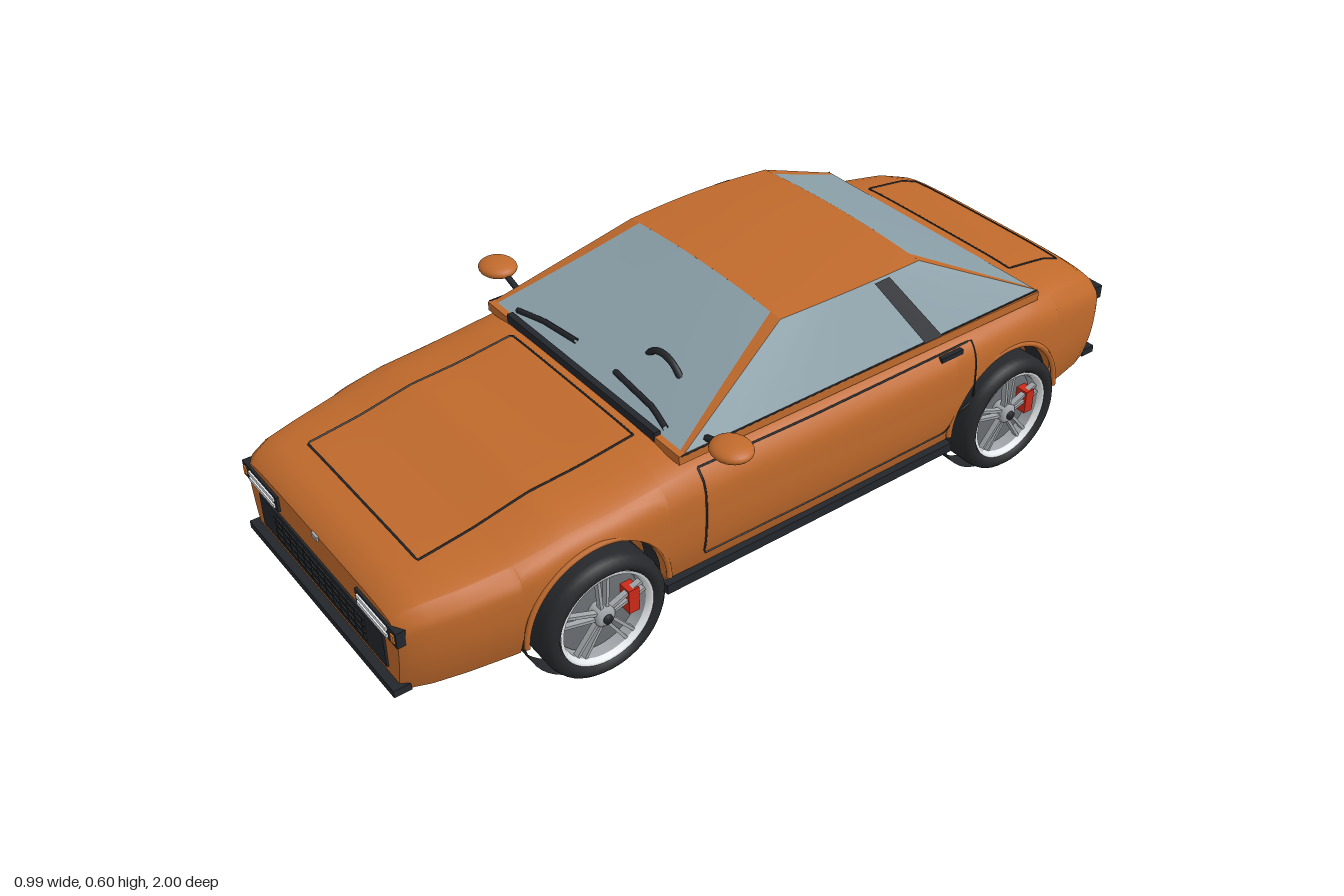
import * as THREE from 'three';

const mat = (color) => new THREE.MeshStandardMaterial({ color, side: THREE.DoubleSide });
const paint = mat(0xc06a2c), dark = mat(0x23262b), glass = mat(0x8a9fa8), silver = mat(0xa4a8ac), bright = mat(0xe4e8ea);
const steel = mat(0x6c7074), red = mat(0xcc2a18), amber = mat(0xe08030), tail = mat(0x7a1a1a), rubber = mat(0x26282b);
const { lerp } = THREE.MathUtils;

// Linear lookup in a list of [key, value] pairs with falling keys
function table(list, k) {
  for (let i = 1; i < list.length; i++) {
    const [a, va] = list[i - 1], [b, vb] = list[i];
    if (k >= b) return lerp(va, vb, Math.min(1, Math.max(0, (a - k) / (a - b))));
  }
  return list[list.length - 1][1];
}

// Body rules: deck height, half width and rounded section
const R = 0.172, AXLE_Y = 0.168, AXLES = [0.565, -0.59], MID = 0.27, N = 5;
const TOP = [[0.98, 0.315], [0.96, 0.335], [0.92, 0.352], [0.85, 0.36], [0.75, 0.374], [0.62, 0.402], [0.5, 0.41],
  [0.33, 0.432], [0, 0.44], [-0.4, 0.445], [-0.68, 0.447], [-0.85, 0.425], [-0.92, 0.4], [-0.96, 0.37], [-0.98, 0.33]];
const WIDTH = [[0.98, 0.33], [0.95, 0.352], [0.9, 0.367], [0.8, 0.388], [0.7, 0.4], [0.5, 0.408], [0, 0.412]];
const topY = (z) => table(TOP, z);
const halfW = (z) => table(WIDTH, Math.abs(z));
const baseY = (z) => (Math.abs(z) > 0.7 ? 0.13 : 0.152);
const sideX = (y, z) => {
  if (y < MID) return halfW(z) * (1 - 0.06 * ((MID - y) / 0.13) ** 2);
  return halfW(z) * (1 - Math.min(1, (y - MID) / (topY(z) - MID)) ** N) ** (1 / N);
};
const deckY = (x, z) => MID + (topY(z) - MID) * (1 - Math.min(1, Math.abs(x) / halfW(z)) ** N) ** (1 / N);

// Surface through rows of equally many points
function grid(rows) {
  const n = rows[0].length, index = [];
  for (let i = 0; i + 1 < rows.length; i++)
    for (let j = 0; j + 1 < n; j++) {
      const a = i * n + j, b = a + n;
      index.push(a, b, a + 1, b, b + 1, a + 1);
    }
  const g = new THREE.BufferGeometry();
  g.setAttribute('position', new THREE.Float32BufferAttribute(rows.flat(2), 3));
  g.setIndex(index);
  g.computeVertexNormals();
  return g;
}

export function createModel() {
  const car = new THREE.Group();
  const add = (name, geo, m, x = 0, y = 0, z = 0, parent = car) => {
    const mesh = new THREE.Mesh(geo, m);
    mesh.name = name;
    mesh.position.set(x, y, z);
    parent.add(mesh);
    return mesh;
  };
  const box = (name, m, w, h, d, x, y, z, parent) => add(name, new THREE.BoxGeometry(w, h, d), m, x, y, z, parent);
  const line = (name, pts, r = 0.0024, m = dark) => {
    const path = new THREE.CurvePath();
    for (let i = 1; i < pts.length; i++)
      path.add(new THREE.LineCurve3(new THREE.Vector3(...pts[i - 1]), new THREE.Vector3(...pts[i])));
    return add(name, new THREE.TubeGeometry(path, pts.length * 3, r, 5), m);
  };

  // Body stations: [z, bottom height], with wheel arches cut across the width
  const stations = TOP.map(([z]) => [z, baseY(z)]).filter(([z]) => AXLES.every((c) => Math.abs(z - c) > R));
  for (const c of AXLES) {
    for (const z of [c + R + 1e-4, c - R - 1e-4]) stations.push([z, baseY(z)]);
    for (let i = 0; i <= 20; i++) {
      const a = Math.PI * i / 20;
      stations.push([c + R * Math.cos(a), AXLE_Y + R * Math.sin(a)]);
    }
  }
  stations.sort((a, b) => b[0] - a[0]);
  const rings = stations.map(([z, yb]) => {
    const half = [], ys = MID + 0.8 * (topY(z) - MID), xs = sideX(ys, z);
    for (let i = 0; i < 10; i++) {
      const y = lerp(yb, ys, i / 10);
      half.push([sideX(y, z), y, z]);
    }
    for (let i = 0; i <= 10; i++) {
      const x = xs * Math.cos(Math.PI / 2 * i / 10);
      half.push([x, deckY(x, z), z]);
    }
    return [...half, ...half.slice(0, -1).reverse().map(([x, y]) => [-x, y, z])];
  });
  add('bodyShell', grid(rings), paint);
  add('floorPan', grid(rings.map((r) => [r[0], r[r.length - 1]])), paint);
  for (const [name, r] of [['nose', rings[0]], ['tailPanel', rings[rings.length - 1]]])
    add(name, grid(r.slice(0, 21).map((p) => [p, [-p[0], p[1], p[2]]])), paint);

  // Beltline plinth under the cabin
  box('beltline', paint, 0.74, 0.022, 1.045, 0, 0.429, -0.1825);

  // Windscreens with their pillars, each a ruled pane from base to roof
  const roofW = (t) => 0.272 + 0.008 * Math.sin(Math.PI * t);
  const pane = (name, m, zb, yb, wb, zt, edge) => {
    const rows = [];
    for (let i = 0; i <= 4; i++) {
      const s = i / 4, w = lerp(wb, 0.272, s), [f0, f1] = edge(lerp(0.965, 0.88, s));
      rows.push(Array.from({ length: 9 }, (_, j) => {
        const f = lerp(f0, f1, j / 8);
        return [f * w, lerp(yb, 0.588, s) + 0.012 * s * (1 - f * f), lerp(zb, zt, s)];
      }));
    }
    add(name, grid(rows), m);
  };
  for (const [name, ...p] of [['front', 0.335, 0.435, 0.37, 0], ['rear', -0.7, 0.445, 0.365, -0.4]]) {
    pane(name + 'Windscreen', glass, ...p, (e) => [-e, e]);
    pane(name + 'PillarLeft', paint, ...p, (e) => [e, 1]);
    pane(name + 'PillarRight', paint, ...p, (e) => [-1, -e]);
  }
  const roof = [];
  for (let i = 0; i <= 10; i++) {
    const t = i / 10, w = roofW(t);
    roof.push(Array.from({ length: 13 }, (_, j) => {
      const f = j / 6 - 1;
      return [f * w, 0.588 + 0.012 * (1 - f * f) + 0.004 * Math.sin(Math.PI * t), -0.4 * t];
    }));
  }
  add('roof', grid(roof), paint);

  for (const s of [1, -1]) {
    // Side windows and centre post
    const rows = [[], []];
    for (let i = 0; i <= 10; i++) {
      const t = i / 10;
      rows[0].push([s * lerp(0.37, 0.365, t), lerp(0.435, 0.445, t), lerp(0.335, -0.7, t)]);
      rows[1].push([s * roofW(t), 0.588 + 0.004 * Math.sin(Math.PI * t), -0.4 * t]);
    }
    add('sideWindow', grid(rows), glass);
    add('centrePost', grid([[[s * 0.372, 0.443, -0.34], [s * 0.372, 0.443, -0.392]],
      [[s * 0.286, 0.588, -0.255], [s * 0.284, 0.588, -0.3]]]), dark);
    line('windowTrim', [[s * 0.371, 0.44, 0.335], [s * 0.368, 0.445, -0.7]], 0.002);

    // Door seam and handle
    const seam = [];
    for (let i = 0; i <= 10; i++) seam.push([0.3, lerp(0.4, 0.185, i / 10)]);
    for (let i = 1; i <= 10; i++) seam.push([lerp(0.3, -0.4, i / 10), 0.185]);
    seam.push([-0.44, 0.235]);
    for (let i = 0; i <= 10; i++) seam.push([-0.475, lerp(0.25, 0.405, i / 10)]);
    for (let i = 1; i <= 10; i++) seam.push([lerp(-0.475, 0.3, i / 10), lerp(0.405, 0.4, i / 10)]);
    line('doorSeam', seam.map(([z, y]) => [s * sideX(y, z), y, z]));
    box('doorHandle', dark, 0.012, 0.012, 0.065, s * sideX(0.395, -0.4), 0.395, -0.405);

    // Sill, mirror, lamps and wiper
    box('sill', dark, 0.03, 0.024, 0.82, s * 0.392, 0.14, -0.01);
    add('mirror', new THREE.SphereGeometry(1, 24, 16), paint, s * 0.445, 0.472, 0.265).scale.set(0.05, 0.019, 0.045);
    line('mirrorArm', [[s * 0.362, 0.45, 0.265], [s * 0.41, 0.466, 0.265]], 0.008);
    box('headlampHousing', dark, 0.166, 0.038, 0.04, s * 0.257, 0.281, 0.966);
    for (const y of [0.272, 0.289]) box('headlampBar', bright, 0.12, 0.009, 0.01, s * 0.245, y, 0.985);
    box('indicator', amber, 0.012, 0.02, 0.01, s * 0.327, 0.281, 0.984);
    box('tailLampHousing', dark, 0.15, 0.034, 0.04, s * 0.255, 0.315, -0.97);
    box('tailLamp', tail, 0.13, 0.02, 0.01, s * 0.255, 0.315, -0.988);
    const x0 = s > 0 ? 0.07 : -0.08, x1 = s > 0 ? 0.22 : -0.2;
    line('wiper', [[x0, 0.464, 0.288], [x1, 0.46, 0.298], [s * 0.285, 0.45, 0.312]], 0.007);

    // Wheels
    for (const z of AXLES) {
      const wheel = new THREE.Group();
      wheel.name = (z > 0 ? 'front' : 'rear') + 'Wheel' + (s > 0 ? 'Left' : 'Right');
      wheel.position.set(s * 0.375, AXLE_Y, z);
      wheel.rotation.y = s > 0 ? 0 : Math.PI;
      car.add(wheel);
      const spin = (name, m, pts) => add(name, new THREE.LatheGeometry(pts.map((p) => new THREE.Vector2(...p)), 48)
        .rotateZ(-Math.PI / 2), m, 0, 0, 0, wheel);
      spin('tyre', rubber, [[0.112, -0.055], [0.138, -0.055], [0.148, -0.04], [0.149, 0.035], [0.145, 0.05], [0.134, 0.06], [0.12, 0.06], [0.112, 0.048]]);
      spin('archLiner', rubber, [[0.168, -0.055], [0.168, 0.003]]);
      spin('rimBarrel', silver, [[0.108, -0.055], [0.102, 0], [0.102, 0.042]]);
      spin('rimEdge', bright, [[0.102, 0.042], [0.107, 0.053], [0.114, 0.053]]);
      spin('brakeDisc', steel, [[0, 0.005], [0.1, 0.005], [0.1, 0.015], [0, 0.015]]);
      spin('hub', silver, [[0.024, 0.01], [0.024, 0.045], [0.017, 0.052], [0, 0.052]]);
      spin('hubCap', dark, [[0.011, 0.05], [0.011, 0.057], [0, 0.057]]);
      for (let i = 0; i < 5; i++) {
        const arm = new THREE.Group();
        arm.name = 'spoke';
        arm.rotation.x = i * Math.PI * 0.4;
        wheel.add(arm);
        for (const k of [-1, 1]) box('spokeBlade', silver, 0.014, 0.086, 0.007, 0.036, 0.061, k * 0.009, arm).rotation.x = k * 0.06;
      }
      box('brakeCaliper', red, 0.032, 0.06, 0.026, 0.031, 0.007, -0.07 * s, wheel);
      add('archLip', new THREE.TorusGeometry(R + 0.003, 0.007, 6, 32, Math.PI).rotateY(Math.PI / 2), paint, s * 0.4, AXLE_Y, z);
    }
  }

  // Bonnet and boot lid seams, following the crown of the deck
  const lid = (name, w, z0, z1) => {
    const pts = [];
    for (let i = 0; i <= 16; i++) pts.push([w, lerp(z0, z1, i / 16)]);
    for (let i = 1; i < 16; i++) pts.push([lerp(w, -w, i / 16), z1]);
    for (let i = 16; i >= 0; i--) pts.push([-w, lerp(z0, z1, i / 16)]);
    for (let i = 1; i <= 16; i++) pts.push([lerp(-w, w, i / 16), z0]);
    line(name, pts.map(([x, z]) => [x, deckY(x, z) + 0.0005, z]));
  };
  lid('bonnetSeam', 0.237, 0.36, 0.875);
  lid('bootSeam', 0.25, -0.73, -0.9);
  box('cowl', dark, 0.57, 0.022, 0.016, 0, 0.439, 0.333);

  // Grilles, lower lips and blank nose badge
  for (const s of [1, -1]) {
    box(s > 0 ? 'frontGrille' : 'rearGrille', dark, 0.55, 0.085, 0.02, 0, 0.207, s * 0.975);
    for (let i = 0; i < 4; i++) box('grilleSlat', rubber, 0.4, 0.004, 0.005, 0, 0.182 + i * 0.018, s * 0.986);
    for (let i = 0; i < 13; i++) box('grilleBar', rubber, 0.004, 0.06, 0.005, (i - 6) * 0.032, 0.209, s * 0.986);
    box(s > 0 ? 'frontLip' : 'rearLip', dark, 0.65, 0.018, 0.04, 0, 0.138, s * 0.98);
  }
  box('noseBadge', silver, 0.024, 0.011, 0.012, 0, 0.311, 0.978);

  // Rear axle housing and steering wheel
  box('rearAxleHousing', dark, 0.6, 0.16, 0.25, 0, 0.255, -0.545);
  box('rearCrossMember', dark, 0.6, 0.18, 0.05, 0, 0.225, -0.445);
  add('steeringWheel', new THREE.TorusGeometry(0.07, 0.008, 8, 40), dark, 0.145, 0.448, 0.212);
  return car;
}
